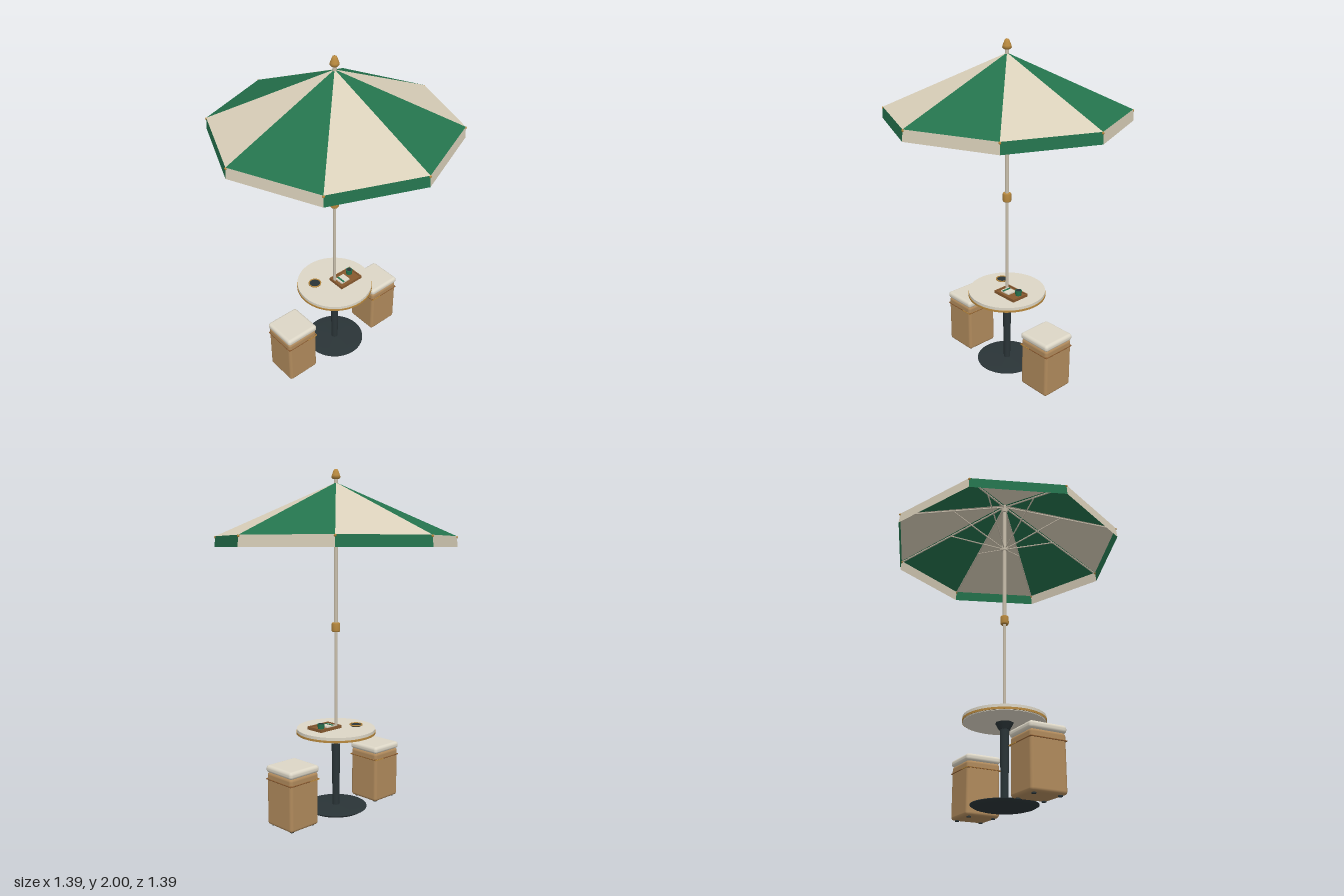
import * as THREE from 'three';
import { RoundedBoxGeometry } from 'three/addons/geometries/RoundedBoxGeometry.js';

const mat = (name, color, side = THREE.FrontSide) => {
  const m = new THREE.MeshStandardMaterial({ color, side });
  m.name = name;
  return m;
};

export function createModel() {
  const root = new THREE.Group();
  root.name = 'parasolTableSet';
  const M = {
    green: mat('canopy green', 0x24734d, THREE.DoubleSide),
    cream: mat('canopy cream', 0xd9cfb9, THREE.DoubleSide),
    white: mat('off-white', 0xdcd6c6),
    pole: mat('pole beige', 0xc9bfac),
    brass: mat('brass', 0xb8893f),
    iron: mat('dark iron', 0x2a3437),
    tan: mat('tan leather', 0xb08a5c),
    brown: mat('brown wood', 0x87592f),
  };

  const add = (parent, name, geo, material, x = 0, y = 0, z = 0) => {
    const mesh = new THREE.Mesh(geo, material);
    mesh.name = name;
    mesh.position.set(x, y, z);
    parent.add(mesh);
    return mesh;
  };
  const group = (name, parent = root) => {
    const g = new THREE.Group();
    g.name = name;
    parent.add(g);
    return g;
  };
  const lathe = (pts, n = 32) =>
    new THREE.LatheGeometry(pts.map(([r, y]) => new THREE.Vector2(r, y)), n);
  const cyl = (top, bottom, h, n = 24) => new THREE.CylinderGeometry(top, bottom, h, n);
  // Flat triangles from a list of corner points
  const faces = (...pts) => {
    const g = new THREE.BufferGeometry().setFromPoints(pts);
    g.computeVertexNormals();
    return g;
  };
  const rod = (parent, name, a, b, r, material) => {
    const mesh = add(parent, name, cyl(r, r, a.distanceTo(b), 8), material);
    mesh.position.copy(a).lerp(b, 0.5);
    mesh.quaternion.setFromUnitVectors(new THREE.Vector3(0, 1, 0), b.clone().sub(a).normalize());
  };
  const ring = (i, r, y) => {
    const t = (i * Math.PI) / 4;
    return new THREE.Vector3(r * Math.cos(t), y, r * Math.sin(t));
  };

  // Canopy: eight panels with valance flaps in the opposite colour
  const canopy = group('canopy');
  const apex = new THREE.Vector3(0, 1.925, 0);
  const rimR = 0.689, rimY = 1.625, lowR = 0.695, lowY = 1.563;
  for (let i = 0; i < 8; i++) {
    const a = ring(i, rimR, rimY), b = ring(i + 1, rimR, rimY);
    const c = ring(i, lowR, lowY), d = ring(i + 1, lowR, lowY);
    add(canopy, 'panel', faces(apex, b, a), i % 2 ? M.green : M.cream);
    add(canopy, 'valance', faces(a, b, d, a, d, c), i % 2 ? M.cream : M.green);
    // Ribs and struts below the cloth
    rod(canopy, 'rib', ring(i, 0.02, 1.9), ring(i, 0.68, 1.619), 0.005, M.pole);
    rod(canopy, 'strut', ring(i, 0.015, 1.6), ring(i, 0.36, 1.757), 0.004, M.pole);
    const tip = ring(i, rimR - 0.001, rimY - 0.006);
    add(canopy, 'ribTip', new THREE.SphereGeometry(0.007, 10, 8), M.brass, tip.x, tip.y, tip.z);
  }
  add(canopy, 'strutHub', cyl(0.02, 0.02, 0.035), M.pole, 0, 1.6, 0);
  add(canopy, 'topHub', cyl(0.024, 0.018, 0.035), M.pole, 0, 1.885, 0);
  add(canopy, 'finial', lathe([[0, 1.943], [0.018, 1.944], [0.026, 1.953], [0.024, 1.963],
    [0.017, 1.982], [0.011, 1.996], [0, 2]], 20), M.brass);

  // Two-stage pole with brass joint
  const pole = group('pole');
  add(pole, 'lowerPole', cyl(0.0095, 0.0085, 0.6), M.pole, 0, 0.8, 0);
  add(pole, 'upperPole', cyl(0.0115, 0.0115, 0.85), M.pole, 0, 1.52, 0);
  add(pole, 'joint', lathe([[0, 1.077], [0.021, 1.077], [0.025, 1.083], [0.025, 1.124],
    [0.021, 1.13], [0, 1.13]], 20), M.brass);

  // Round table on a pedestal
  const table = group('table');
  add(table, 'tableTop', cyl(0.232, 0.232, 0.03, 48), M.white, 0, 0.49, 0);
  add(table, 'tableTrim', cyl(0.235, 0.235, 0.012, 48), M.brass, 0, 0.482, 0);
  add(table, 'tableUnderside', cyl(0.226, 0.226, 0.004, 48), M.white, 0, 0.475, 0);
  add(table, 'bracket', cyl(0.055, 0.032, 0.042, 8), M.iron, 0, 0.456, 0);
  add(table, 'pedestal', cyl(0.026, 0.02, 0.43), M.iron, 0, 0.23, 0);
  add(table, 'foot', lathe([[0, 0], [0.13, 0.002], [0.165, 0.012], [0.184, 0.024],
    [0.184, 0.028], [0.12, 0.03], [0.04, 0.034], [0, 0.035]], 48), M.iron);

  // Serving tray with a cup and a folded napkin
  const tray = group('tray');
  tray.position.set(0.067, 0.505, 0.028);
  add(tray, 'trayBoard', new THREE.BoxGeometry(0.16, 0.01, 0.11), M.brown, 0, 0.005, 0);
  for (const s of [-1, 1]) {
    add(tray, 'trayLongRim', new THREE.BoxGeometry(0.165, 0.018, 0.007), M.brown, 0, 0.009, s * 0.054);
    add(tray, 'trayShortRim', new THREE.BoxGeometry(0.007, 0.018, 0.115), M.brown, s * 0.079, 0.009, 0);
  }
  add(tray, 'cup', cyl(0.021, 0.018, 0.03), M.green, 0.045, 0.025, -0.018);
  add(tray, 'drink', cyl(0.016, 0.016, 0.002), M.iron, 0.045, 0.04, -0.018);
  add(tray, 'napkin', new THREE.BoxGeometry(0.065, 0.008, 0.06), M.white, -0.025, 0.014, 0);
  add(tray, 'napkinStripe', new THREE.BoxGeometry(0.012, 0.002, 0.06), M.green, -0.04, 0.019, 0);

  // Small brass dish
  const dish = group('dish');
  dish.position.set(-0.11, 0.505, -0.06);
  add(dish, 'dishBowl', cyl(0.036, 0.028, 0.01), M.iron, 0, 0.005, 0);
  add(dish, 'dishRim', new THREE.TorusGeometry(0.036, 0.004, 8, 28), M.brass, 0, 0.01, 0)
    .rotation.x = Math.PI / 2;

  // Two square stools with cushions
  for (const s of [-1, 1]) {
    const stool = group(s > 0 ? 'leftStool' : 'rightStool');
    stool.position.x = s * 0.342;
    add(stool, 'stoolBody', new RoundedBoxGeometry(0.208, 0.308, 0.208, 4, 0.018), M.tan, 0, 0.16, 0);
    add(stool, 'cushion', new RoundedBoxGeometry(0.217, 0.042, 0.217, 4, 0.018), M.white, 0, 0.331, 0);
    add(stool, 'strap', new RoundedBoxGeometry(0.213, 0.007, 0.213, 2, 0.003), M.brown, 0, 0.272, 0);
    add(stool, 'strapClasp', new THREE.BoxGeometry(0.07, 0.006, 0.216), M.brass, -s * 0.071, 0.272, 0);
    for (const x of [-1, 1]) for (const z of [-1, 1])
      add(stool, 'footPad', cyl(0.012, 0.012, 0.008, 12), M.iron, x * 0.075, 0.004, z * 0.075);
  }
  return root;
}
